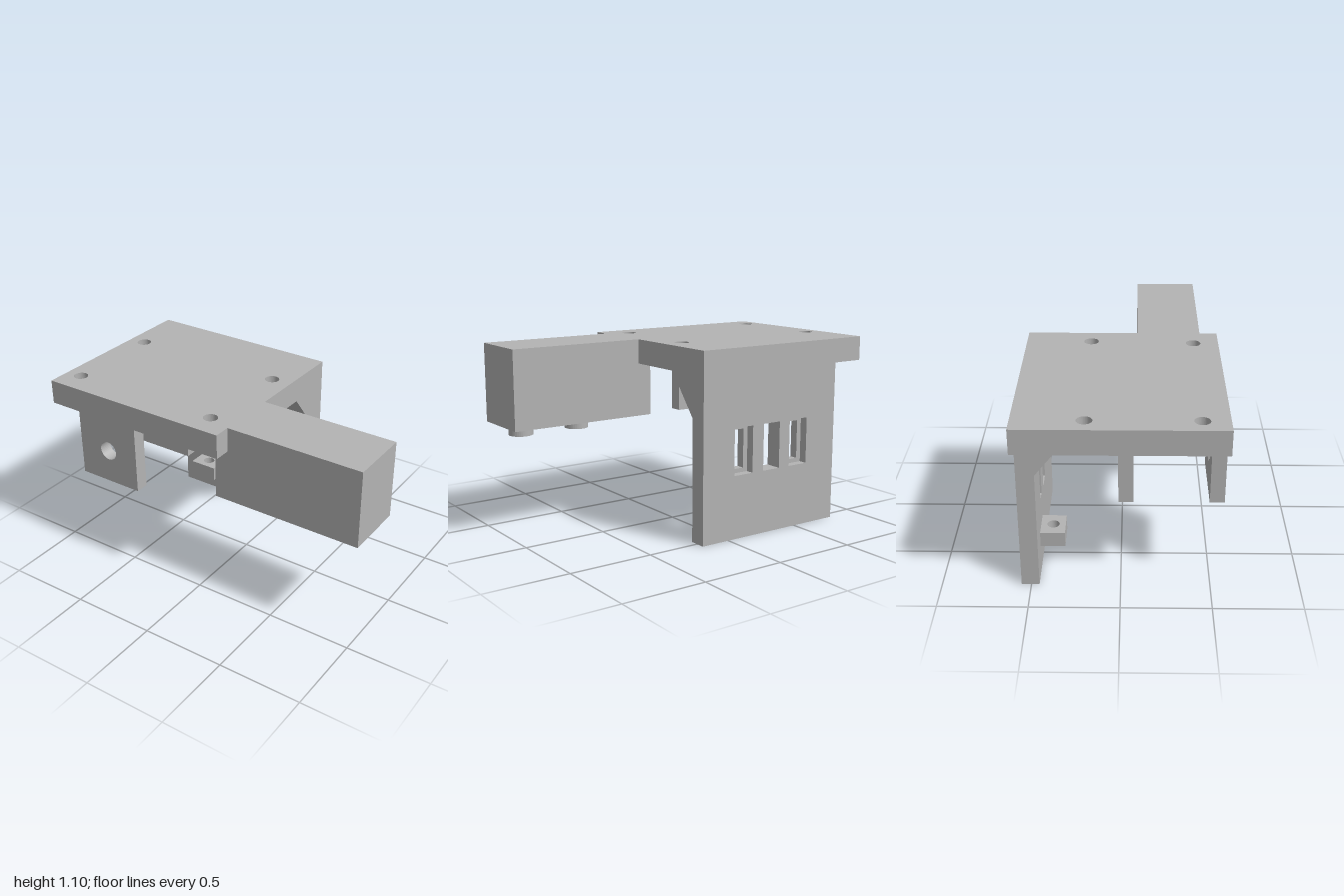
import * as THREE from 'three';

const grey = new THREE.MeshStandardMaterial({ color: 0xb3b3b3 });
grey.name = 'grey plastic';

const poly = (pts) => new THREE.Shape(pts.map(([x, y]) => new THREE.Vector2(x, y)));
const rect = (x0, x1, y0, y1) => poly([[x0, y0], [x1, y0], [x1, y1], [x0, y1]]);
const disc = (x, y, r) => new THREE.Shape().absarc(x, y, r, 0, Math.PI * 2, false);

export function createModel() {
  const model = new THREE.Group();
  model.name = 'mountingBracket';

  const add = (name, geometry) => {
    const mesh = new THREE.Mesh(geometry, grey);
    mesh.name = name;
    model.add(mesh);
    return mesh;
  };
  const extrude = (outline, holes, depth) => {
    outline.holes.push(...holes);
    return new THREE.ExtrudeGeometry(outline, { depth, bevelEnabled: false, curveSegments: 20 });
  };
  // slab drawn in x/y, running from z0 to z1
  const upright = (name, outline, holes, z0, z1) =>
    add(name, extrude(outline, holes, z1 - z0).translate(0, 0, z0));
  // slab drawn in x/-z, running from y0 to y1
  const flat = (name, outline, holes, y0, y1) =>
    add(name, extrude(outline, holes, y1 - y0).rotateX(-Math.PI / 2).translate(0, y0, 0));

  // top plate: narrow screw holes above, counterbores below
  const screws = [[-0.9, 0.18], [0.06, 0.18], [-0.9, -0.41], [0.04, -0.41]];
  [['topPlate', 0.042, 1.03, 1.104], ['topPlateCounterbores', 0.08, 0.96, 1.03]].forEach(([name, r, y0, y1]) =>
    flat(name, rect(-1, 0.183, -0.555, 0.555), screws.map(([x, y]) => disc(x, y, r)), y0, y1));

  // back plate: outer windows are stepped, wider at the back
  const middle = () => rect(-0.37, -0.25, 0.375, 0.652);
  upright('backPlateInner', rect(-0.8, 0.183, 0, 0.96),
    [rect(-0.55, -0.477, 0.4, 0.63), middle(), rect(-0.14, -0.067, 0.4, 0.63)], -0.505, -0.455);
  upright('backPlateOuter', rect(-0.8, 0.183, 0, 0.96),
    [rect(-0.58, -0.447, 0.375, 0.652), middle(), rect(-0.17, -0.037, 0.375, 0.652)], -0.555, -0.505);

  // corner gussets
  for (const [name, x] of [['rightGusset', -0.8], ['leftGusset', 0.023]]) {
    const g = extrude(poly([[0.455, 0.96], [0.455, 0.715], [0.26, 0.96]]), [], 0.16);
    add(name, g.rotateY(Math.PI / 2).translate(x, 0, 0));
  }

  // two hanging lugs with a shared pivot hole
  for (const [name, z] of [['frontLug', 0.475], ['middleLug', -0.012]]) {
    upright(name, rect(-0.8, -0.39, 0.555, 0.96), [disc(-0.595, 0.76, 0.057)], z, z + 0.08);
  }

  // side arm, notched around the top plate
  upright('sideArm', poly([[0.1, 0.645], [1, 0.645], [1, 1.104], [0.183, 1.104], [0.183, 0.96], [0.1, 0.96]]),
    [], 0.088, 0.455);

  // hollow pegs under the arm
  for (const x of [0.51, 0.875]) {
    flat('armPeg', disc(x, -0.272, 0.071), [disc(x, -0.272, 0.025)], 0.585, 0.645);
  }

  // drilled block on the back plate
  flat('screwBlock', rect(-0.652, -0.475, 0.315, 0.455), [disc(-0.563, 0.385, 0.035)], 0.155, 0.245);

  return model;
}
